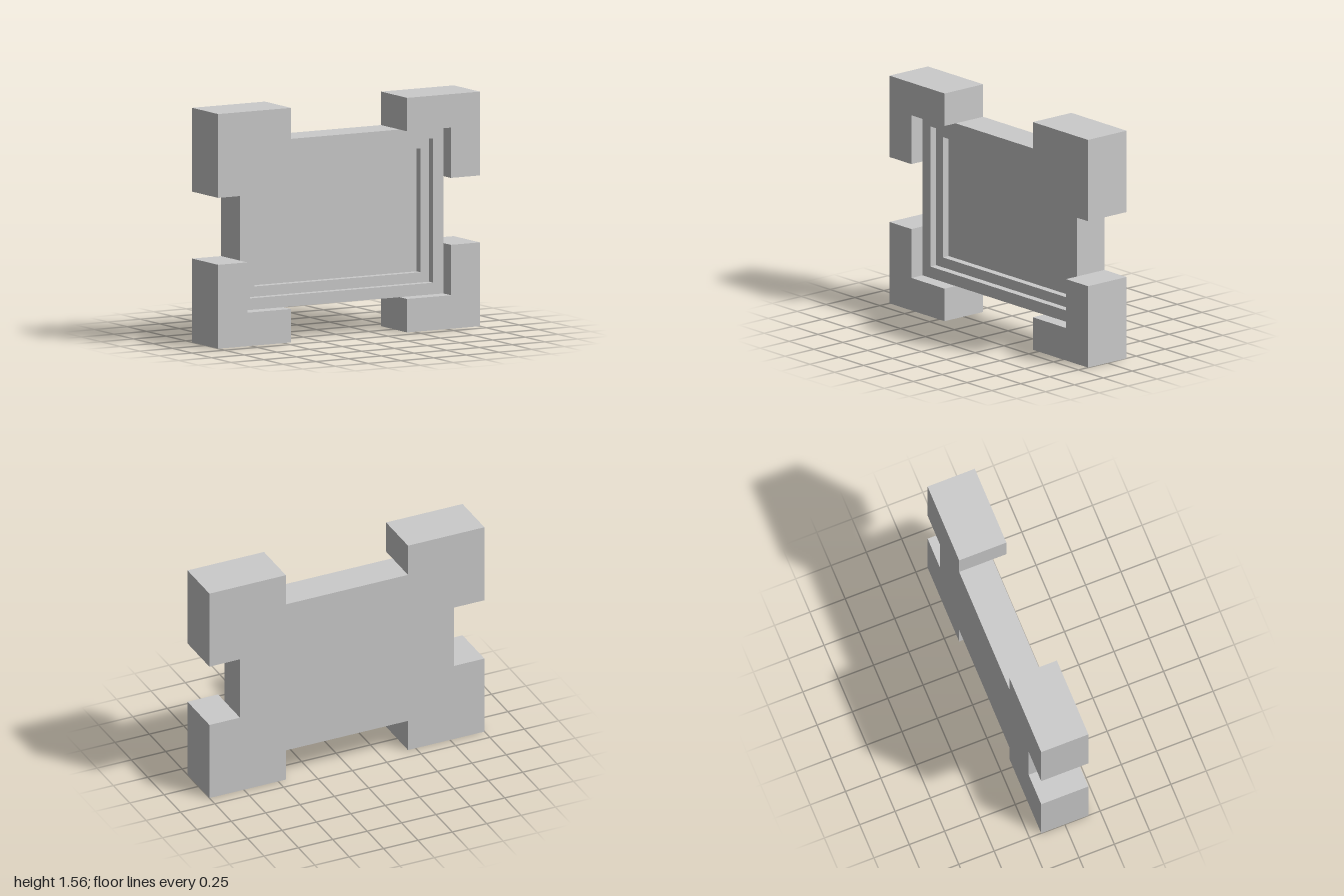
import * as THREE from 'three';

const MID_Y = 0.778;   // height of the panel's centre
const BACK = -0.167;
const FRONT = 0.167;

const material = new THREE.MeshStandardMaterial({ color: 0xcccccc, flatShading: true });

// Corners of a centred rectangle given as half sizes
const rect = ([w, h]) => [[-w, -h], [w, -h], [w, h], [-w, h]].map(p => new THREE.Vector2(...p));

// Extrude an outline, with an optional opening, between two depths
function slab(name, points, z0, z1, hole) {
  const shape = new THREE.Shape(points);
  if (hole) shape.holes.push(new THREE.Path(hole));
  const geometry = new THREE.ExtrudeGeometry(shape, { depth: z1 - z0, bevelEnabled: false });
  geometry.translate(0, MID_Y, z0);
  const mesh = new THREE.Mesh(geometry, material);
  mesh.name = name;
  return mesh;
}

export function createModel() {
  const model = new THREE.Group();
  model.name = 'steppedPanel';

  // Panel with two stepped recesses
  const outer = [0.778, 0.556], middle = [0.7, 0.479], inner = [0.633, 0.411];
  model.add(
    slab('backPanel', rect(outer), BACK, -0.03),
    slab('innerStep', rect(outer), -0.03, 0.02, rect(inner)),
    slab('outerFrame', rect(outer), 0.02, 0.071, rect(middle))
  );

  // L-shaped blocks wrapping the four corners
  const corner = [[0.444, 0.556], [0.778, 0.556], [0.778, 0.222], [1, 0.222], [1, 0.778], [0.444, 0.778]];
  for (const [side, sx] of [['Left', 1], ['Right', -1]]) {
    for (const [level, sy] of [['top', 1], ['bottom', -1]]) {
      const points = corner.map(([x, y]) => new THREE.Vector2(x * sx, y * sy));
      model.add(slab(`${level}${side}Corner`, points, BACK, FRONT));
    }
  }
  return model;
}
